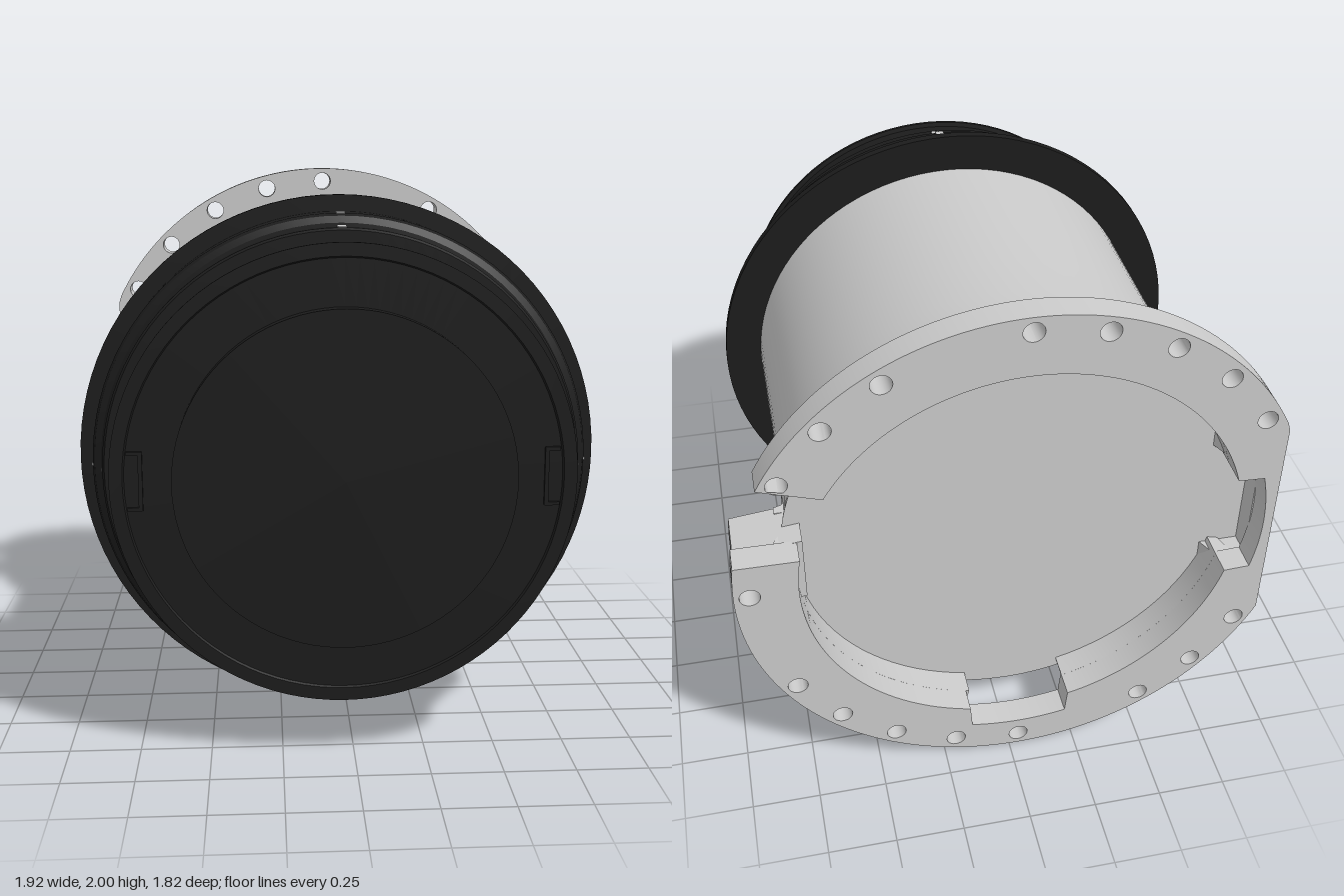
import * as THREE from 'three';
import { toCreasedNormals } from 'three/addons/utils/BufferGeometryUtils.js';

const grey = new THREE.MeshStandardMaterial({ color: 0xcccccc, side: THREE.DoubleSide });
const black = new THREE.MeshStandardMaterial({ color: 0x1c1c1c, side: THREE.DoubleSide });
const rad = THREE.MathUtils.degToRad;

export function createModel() {
  const root = new THREE.Group();
  const body = new THREE.Group();
  body.name = 'barrelAssembly';
  body.position.set(-0.035, 1, 0);
  root.add(body);

  const add = (name, geo, mat = grey) => {
    const mesh = new THREE.Mesh(geo, mat);
    mesh.name = name;
    body.add(mesh);
    return mesh;
  };
  // Turned part along z from [radius, z] pairs, angles in degrees from +x
  const turned = (name, pts, mat, from = 0, to = 360) => {
    const geo = new THREE.LatheGeometry(pts.map(([r, z]) => new THREE.Vector2(r, z)),
      Math.ceil((to - from) / 3.75), rad(from + 90), rad(to - from));
    geo.rotateX(Math.PI / 2);
    return add(name, toCreasedNormals(geo, 0.5), mat);
  };
  // Flat outline extruded from z0 to z1
  const plate = (name, shape, z0, z1) => {
    const geo = new THREE.ExtrudeGeometry(shape, { depth: z1 - z0, bevelEnabled: false, curveSegments: 12 });
    geo.translate(0, 0, z0);
    return add(name, toCreasedNormals(geo, 0.5));
  };
  const polar = (r, deg) => new THREE.Vector2(r * Math.cos(rad(deg)), r * Math.sin(rad(deg)));
  const boltHole = deg => {
    const p = polar(0.945, deg);
    return new THREE.Path().absarc(p.x, p.y, 0.036, 0, Math.PI * 2, true);
  };

  // Barrel with flared rear and closed end wall
  turned('barrel', [[0, -0.73], [0.822, -0.73], [0.808, -0.66], [0.8, -0.58], [0.793, -0.45],
    [0.788, -0.25], [0.785, 0], [0.785, 0.46]], grey);

  // Rear neck, interrupted by the side notch and the two pockets
  const neck = [[0.78, -0.82], [0.855, -0.82], [0.855, -0.8], [0.838, -0.77], [0.822, -0.73], [0.78, -0.73], [0.78, -0.82]];
  for (const [a, b] of [[28, 164], [196, 256], [283, 369]]) {
    turned('neck', neck, grey, a, b);
    for (const end of [a, b]) {
      const cap = new THREE.ShapeGeometry(new THREE.Shape(neck.map(([r, z]) => new THREE.Vector2(r, z))));
      cap.rotateX(Math.PI / 2);
      cap.rotateZ(rad(end));
      add('neckEnd', cap);
    }
  }

  // Rear flange: open ring with a flat on one side and pockets in its bore
  const flat = -0.905;
  const outline = [];
  for (let d = 27.5; d < 368; d += 2) {
    const p = polar(1, d);
    if (p.x < flat) {
      if (Math.abs(p.y) < 0.4) continue;
      p.x = flat;
    }
    outline.push(p);
  }
  outline.push(polar(1, 368));
  const pocketed = d => (d > 164 && d < 196) || (d > 256 && d < 283);
  for (let d = 370; d >= 29; d -= 2) outline.push(polar(pocketed(d) ? 0.87 : 0.78, d));
  const flange = new THREE.Shape(outline);
  for (const d of [30, 45, 60, 90, 105, 120, 135, 150, 210, 225, 240, 270, 285, 300, 315, 330, 0])
    flange.holes.push(boltHole(d));
  plate('rearFlange', flange, -0.91, -0.81);

  // Thick bolt lug beside the notch
  const lugOutline = [new THREE.Vector2(0.75, 0.14), new THREE.Vector2(0.75, -0.12)];
  for (let d = -7.5; d <= 8.1; d += 1.56) lugOutline.push(polar(0.992, d));
  const lug = new THREE.Shape(lugOutline);
  lug.holes.push(boltHole(0));
  plate('boltLug', lug, -0.82, -0.63);
  const fillet = new THREE.Shape([[0.77, -0.66], [0.83, -0.66], [0.83, -0.63], [0.8, -0.62], [0.77, -0.585]]
    .map(p => new THREE.Vector2(...p)));
  const filletGeo = new THREE.ExtrudeGeometry(fillet, { depth: 0.25, bevelEnabled: false });
  filletGeo.rotateX(Math.PI / 2);
  filletGeo.translate(0, 0.135, 0);
  add('lugFillet', filletGeo);

  // Sloped side bulge, hollow at the rear: x-z profile extruded along y
  const bulge = (pts, y0, y1) => {
    const geo = new THREE.ExtrudeGeometry(new THREE.Shape(pts.map(p => new THREE.Vector2(...p))),
      { depth: y1 - y0, bevelEnabled: false });
    geo.rotateX(Math.PI / 2);
    geo.translate(0, y1, 0);
    add('sideBulge', geo);
  };
  const slope = [[-0.905, -0.6], [-0.775, -0.29], [-0.7, -0.29]];
  for (const [y0, y1] of [[0.235, 0.33], [-0.33, -0.235]])
    bulge([[-0.72, -0.73], [-0.76, -0.815], [-0.905, -0.815], ...slope], y0, y1);
  bulge([[-0.7, -0.73], [-0.865, -0.73], [-0.865, -0.815], [-0.905, -0.815], ...slope], -0.235, 0.235);

  // Stepped front cap
  turned('frontCap', [[0.78, 0.44], [0.925, 0.44], [0.925, 0.472], [0.867, 0.472], [0.867, 0.595],
    [0.858, 0.612], [0.835, 0.625], [0.823, 0.645], [0.823, 0.7], [0.815, 0.71], [0.768, 0.71],
    [0.768, 0.845], [0.785, 0.848], [0.785, 0.86], [0.74, 0.86], [0.735, 0.852], [0.575, 0.852],
    [0.575, 0.912], [0, 0.912]], black);

  // Index marks set into the cap at four quarters
  for (let i = 0; i < 4; i++) {
    const wide = i % 2 === 1;
    const start = wide ? 0.53 : 0.475;
    for (const [z0, z1, r] of [[start, 0.6, 0.87], [0.6, 0.69, 0.827]]) {
      const geo = new THREE.BoxGeometry(0.05, wide ? 0.03 : 0.007, z1 - z0);
      geo.translate(r - 0.025, 0, (z0 + z1) / 2);
      geo.rotateZ(i * Math.PI / 2);
      add('indexMark', geo);
    }
  }

  // Side clips: screw rims on the cap wall and a bracket on its face
  for (const s of [-1, 1]) {
    for (const y of [-0.06, 0.06]) {
      const rim = add('screwRim', new THREE.TorusGeometry(0.035, 0.008, 8, 24), black);
      rim.rotation.y = Math.PI / 2;
      rim.position.set(s * 0.767, y, 0.76);
      const head = add('screwHead', new THREE.CylinderGeometry(0.02, 0.02, 0.02, 16), black);
      head.rotation.z = Math.PI / 2;
      head.position.set(s * 0.762, y, 0.76);
      add('clipEnd', new THREE.BoxGeometry(0.05, 0.012, 0.014), black)
        .position.set(s * 0.7, Math.sign(y) * 0.095, 0.855);
    }
    add('clipBar', new THREE.BoxGeometry(0.014, 0.2, 0.014), black).position.set(s * 0.68, 0, 0.855);
  }
  return root;
}
